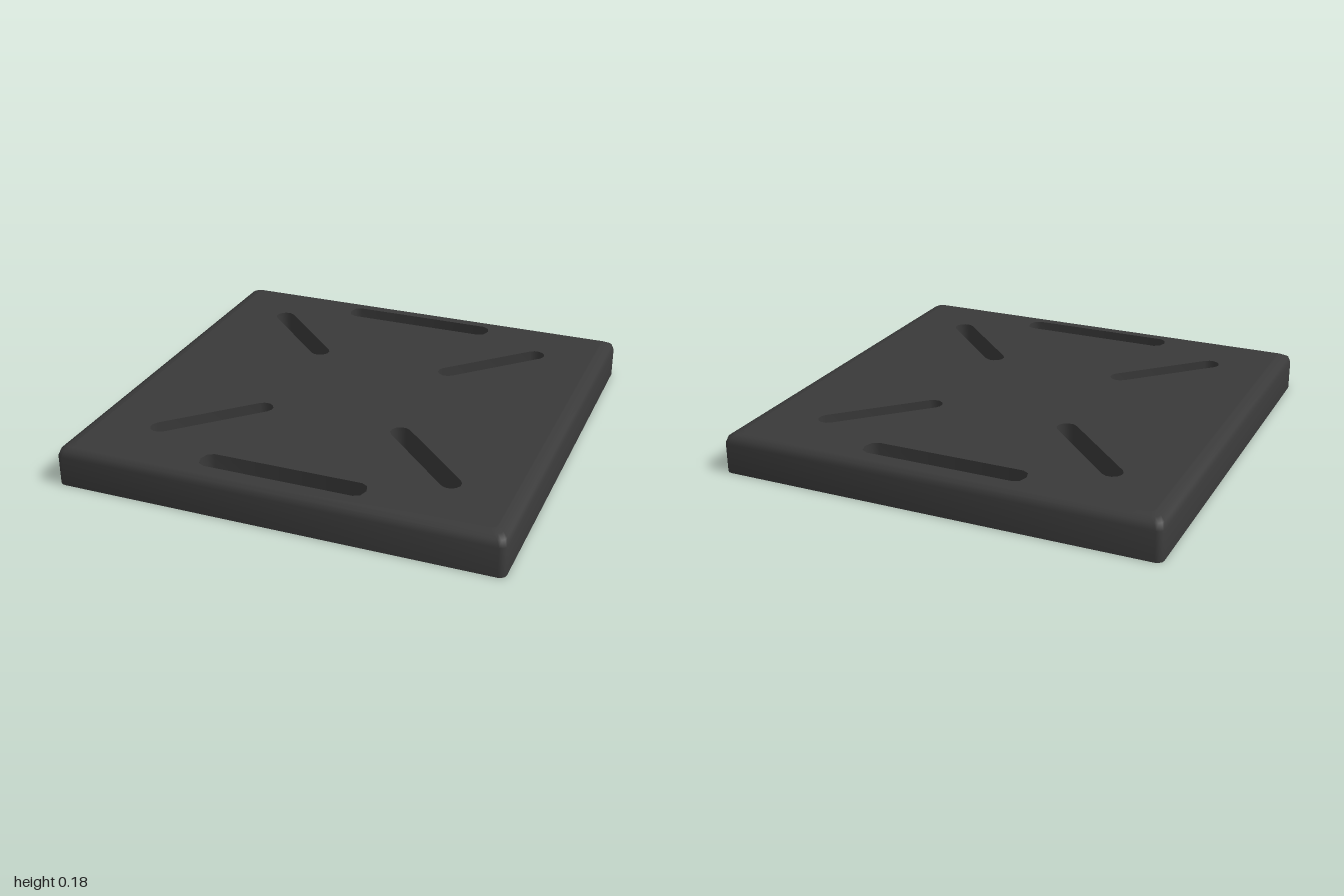
import * as THREE from 'three';
import { toCreasedNormals } from 'three/addons/utils/BufferGeometryUtils.js';

const HEIGHT = 0.18;
const material = new THREE.MeshStandardMaterial({ color: 0x3a3a3a, side: THREE.DoubleSide });

// Open wall through copies of an outline; levels are [y, outline scale]
function loft(outline, levels) {
  const n = outline.length, positions = [], index = [];
  for (const [y, s] of levels) for (const p of outline) positions.push(p.x * s, y, -p.y * s);
  for (let l = 0; l < levels.length - 1; l++) {
    for (let i = 0; i < n; i++) {
      const a = l * n + i, b = l * n + (i + 1) % n;
      index.push(a, b, b + n, a, b + n, a + n);
    }
  }
  const geometry = new THREE.BufferGeometry();
  geometry.setAttribute('position', new THREE.Float32BufferAttribute(positions, 3));
  geometry.setIndex(index);
  return toCreasedNormals(geometry, 0.9);
}

// Square with small rounded corners
function squareOutline(half, r) {
  const points = [];
  for (let k = 0; k < 4; k++) {
    for (let j = 0; j <= 3; j++) {
      const a = (k + j / 3) * Math.PI / 2, q = (k + 0.5) * Math.PI / 2;
      points.push(new THREE.Vector2(
        Math.sign(Math.cos(q)) * (half - r) + r * Math.cos(a),
        Math.sign(Math.sin(q)) * (half - r) + r * Math.sin(a)));
    }
  }
  return points;
}

// Straight slot with rounded ends
function slotOutline(x, y, angle, halfLength, halfWidth, endDepth, segments) {
  const points = [], centre = new THREE.Vector2(x, y);
  for (const side of [1, -1]) {
    for (let j = 0; j <= segments; j++) {
      const a = -Math.PI / 2 + j / segments * Math.PI;
      points.push(new THREE.Vector2(side * (halfLength + endDepth * Math.cos(a)), side * halfWidth * Math.sin(a))
        .rotateAround(new THREE.Vector2(), angle).add(centre));
    }
  }
  return points;
}

export function createModel() {
  const group = new THREE.Group();
  const add = (name, geometry) => {
    const mesh = new THREE.Mesh(geometry, material);
    mesh.name = name;
    group.add(mesh);
  };

  // Two long edge slots and four diagonal slots
  const slots = [];
  for (const sy of [1, -1]) {
    slots.push(['edgeSlotWall', slotOutline(0, sy * 0.858, 0, 0.335, 0.054, 0.039, 4)]);
    for (const sx of [1, -1]) {
      slots.push(['diagonalSlotWall', slotOutline(sx * 0.5, sy * 0.5, sx * sy * Math.PI / 4, 0.24, 0.046, 0.046, 6)]);
    }
  }

  // Skirt with the rounded upper edge, open underneath
  const outline = squareOutline(1, 0.03);
  const topScale = 0.94;
  add('skirt', loft(outline, [[0, 1], [0.135, 1], [0.163, 0.99], [0.175, 0.968], [HEIGHT, topScale]]));

  // Flat top pierced by the slots
  const top = new THREE.Shape(outline.map(p => p.clone().multiplyScalar(topScale)));
  for (const [, points] of slots) top.holes.push(new THREE.Path(points));
  add('topPlate', new THREE.ShapeGeometry(top).rotateX(-Math.PI / 2).translate(0, HEIGHT, 0));

  // Thin slot walls reaching down to the base
  for (const [name, points] of slots) add(name, loft(points, [[0, 1], [HEIGHT, 1]]));

  return group;
}
